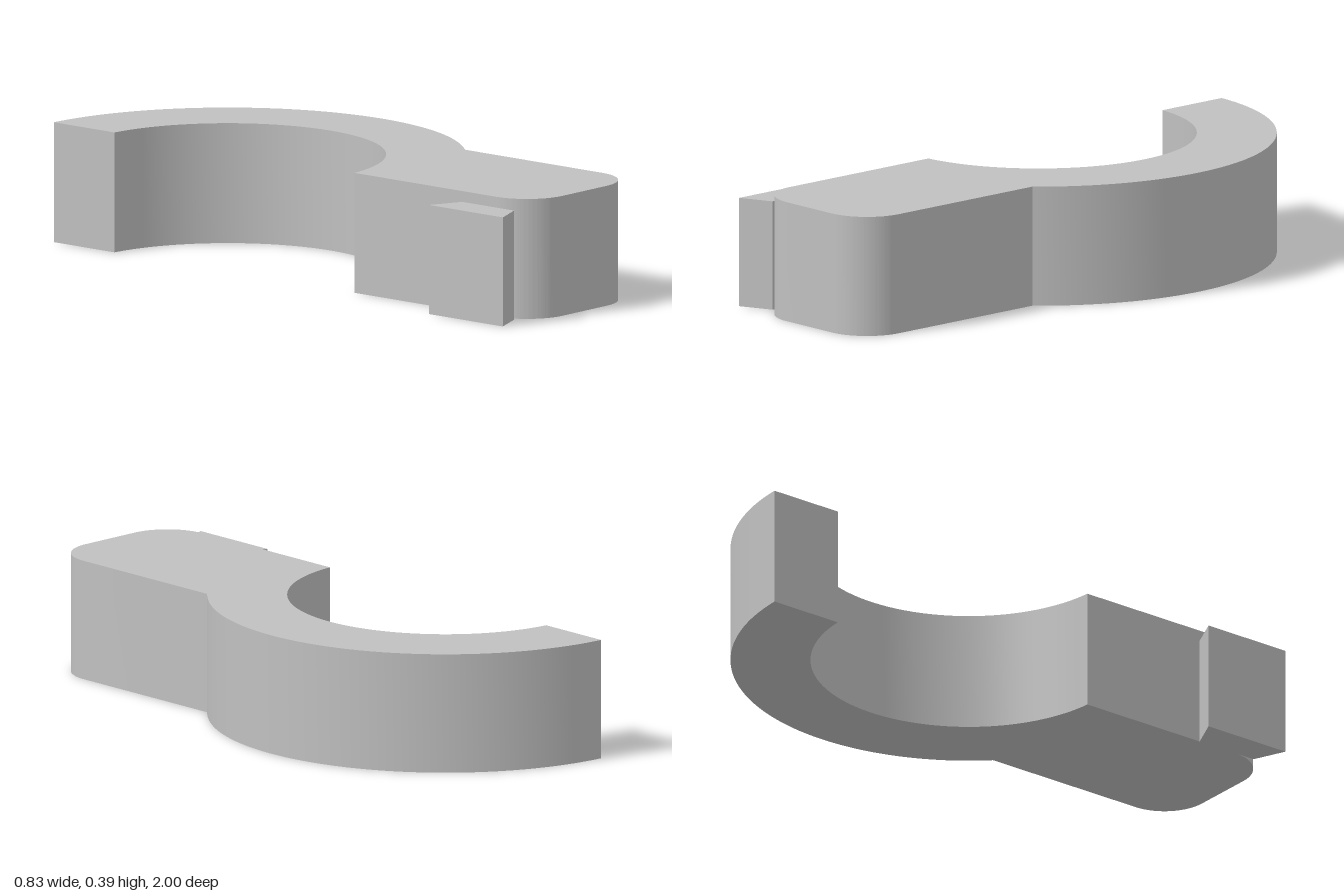
import * as THREE from 'three';
import { toCreasedNormals } from 'three/addons/utils/BufferGeometryUtils.js';

const grey = new THREE.MeshStandardMaterial({ color: 0xc0c0c0 });
grey.name = 'plain grey';

// Upright prism standing on y = 0; the outline is drawn in x and -z.
function prism(name, shape, height) {
  const flat = new THREE.ExtrudeGeometry(shape, { depth: height, bevelEnabled: false, curveSegments: 40 });
  flat.rotateX(-Math.PI / 2);
  const mesh = new THREE.Mesh(toCreasedNormals(flat, Math.PI / 7), grey);
  mesh.name = name;
  return mesh;
}

export function createModel() {
  const group = new THREE.Group();
  group.name = 'hookClip';

  const left = -0.31, right = 0.204, front = -1, corner = 0.15;
  const cx = -0.343, cy = 0.246, inner = 0.503, outer = 0.757;
  const angleAt = (x, r) => Math.acos((x - cx) / r);

  // Open ring running into a straight handle with rounded corners
  const body = new THREE.Shape();
  body.moveTo(left, front + corner);
  body.absarc(left + corner, front + corner, corner, Math.PI, Math.PI * 1.5, false);
  body.absarc(right - corner, front + corner, corner, -Math.PI / 2, 0, false);
  body.absarc(cx, cy, outer, -angleAt(right, outer), angleAt(left, outer), false);
  body.absarc(cx, cy, inner, angleAt(left, inner), -angleAt(left, inner), true);
  body.closePath();
  group.add(prism('hookBody', body, 0.388));

  // Dovetail rail on the side of the handle
  const rail = new THREE.Shape([
    new THREE.Vector2(-0.417, -0.97),
    new THREE.Vector2(left, -0.925),
    new THREE.Vector2(left, -0.708),
    new THREE.Vector2(-0.417, -0.66),
  ]);
  group.add(prism('dovetailRail', rail, 0.353));

  return group;
}
